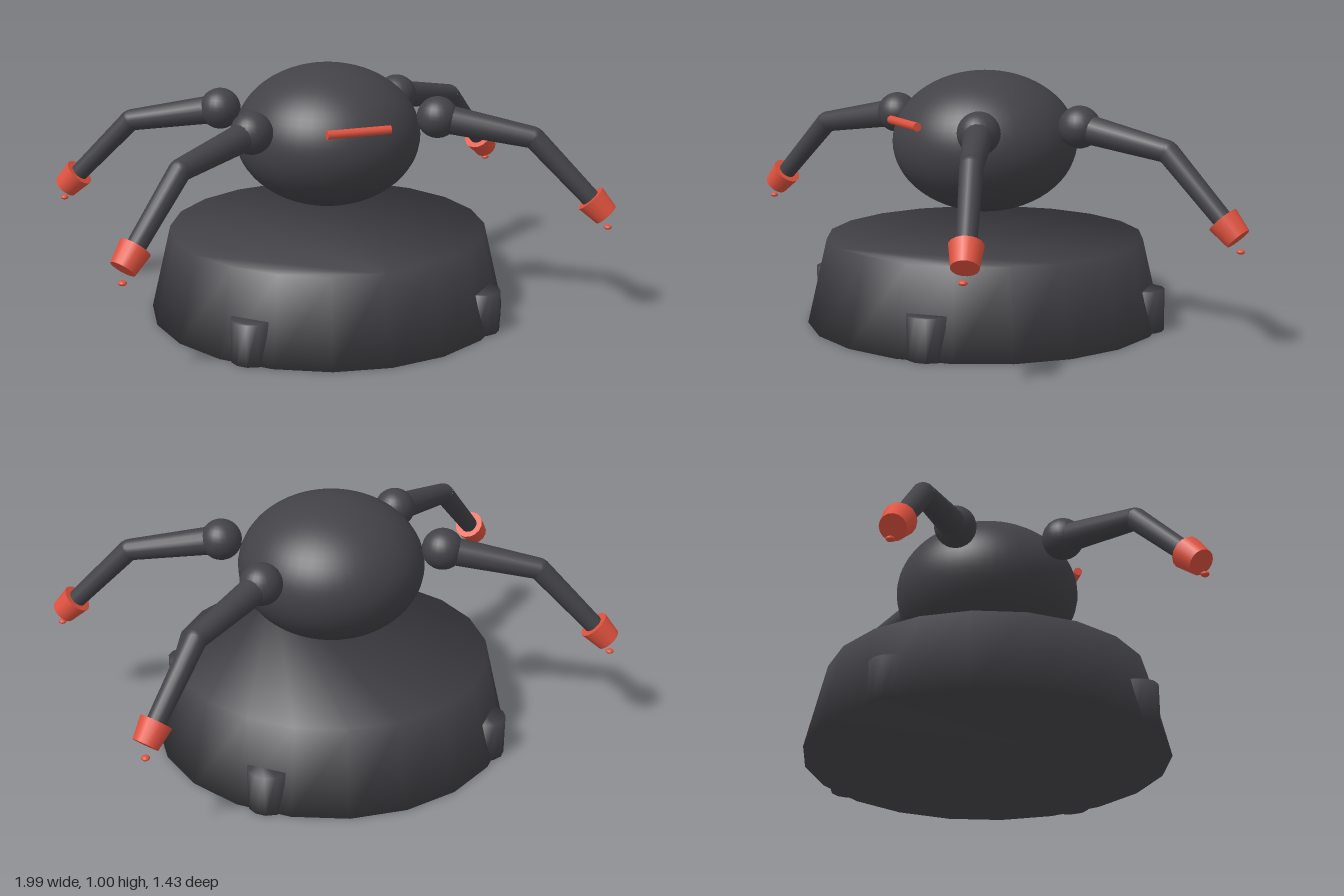
import * as THREE from 'three';

const dark = new THREE.MeshStandardMaterial({ color: 0x424247 });
dark.name = 'charcoal';
const red = new THREE.MeshStandardMaterial({ color: 0xe0523f });
red.name = 'signal red';

function add(parent, name, geometry, material, x = 0, y = 0, z = 0) {
  const mesh = new THREE.Mesh(geometry, material);
  mesh.name = name;
  mesh.position.set(x, y, z);
  parent.add(mesh);
  return mesh;
}

// Tapered cylinder running from point a to point b
function limb(parent, name, a, b, ra, rb, material, sides = 16) {
  const dir = b.clone().sub(a);
  const geometry = new THREE.CylinderGeometry(rb, ra, dir.length(), sides);
  const mid = a.clone().lerp(b, 0.5);
  const mesh = add(parent, name, geometry, material, mid.x, mid.y, mid.z);
  mesh.quaternion.setFromUnitVectors(new THREE.Vector3(0, 1, 0), dir.normalize());
  return mesh;
}

// Closed frustum from two rings whose shared normals blend softly from wall to caps
function softFrustum(rBottom, rTop, height, sides) {
  const pos = [], nor = [], idx = [];
  for (let ring = 0; ring < 2; ring++) {
    const r = ring ? rTop : rBottom;
    for (let i = 0; i < sides; i++) {
      const t = (i / sides) * Math.PI * 2, s = Math.sin(t), c = Math.cos(t);
      pos.push(r * s, ring * height, r * c);
      nor.push(0.78 * s, ring ? 0.62 : -0.62, 0.78 * c);
    }
  }
  for (let i = 0; i < sides; i++) {
    const j = (i + 1) % sides;
    idx.push(i, j, sides + j, i, sides + j, sides + i);
    if (i > 0 && j > 0) idx.push(0, j, i, sides, sides + i, sides + j);
  }
  const g = new THREE.BufferGeometry();
  g.setAttribute('position', new THREE.Float32BufferAttribute(pos, 3));
  g.setAttribute('normal', new THREE.Float32BufferAttribute(nor, 3));
  g.setIndex(idx);
  return g;
}

export function createModel() {
  const model = new THREE.Group();
  model.name = 'hoveringRobot';

  // Base with four foot pads
  add(model, 'base', softFrustum(0.715, 0.635, 0.34, 20), dark);
  for (const sx of [-1, 1]) for (const sz of [-1, 1]) {
    add(model, 'footPad', softFrustum(0.08, 0.08, 0.165, 12), dark, sx * 0.465, 0, sz * 0.465);
  }

  // Floating body with a red visor bar
  const body = add(model, 'body', new THREE.SphereGeometry(1, 48, 32), dark, 0, 0.72, 0);
  body.scale.set(0.368, 0.28, 0.368);
  const visor = add(model, 'visor', new THREE.CylinderGeometry(0.017, 0.017, 0.255, 12), red, 0, 0.808, 0.351);
  visor.rotation.z = Math.PI / 2;

  // Four jointed arms
  for (const sx of [-1, 1]) for (const sz of [-1, 1]) {
    const arm = new THREE.Group();
    arm.name = (sz > 0 ? 'front' : 'back') + (sx > 0 ? 'Left' : 'Right') + 'Arm';
    model.add(arm);
    const p = (x, y, z) => new THREE.Vector3(sx * x, y, sz * z);
    const shoulder = p(0.38, 0.805, 0.215), elbow = p(0.705, 0.74, 0.403), wrist = p(0.93, 0.475, 0.535);
    const along = wrist.clone().sub(elbow).normalize();
    const at = (d) => wrist.clone().addScaledVector(along, d);

    add(arm, 'shoulder', new THREE.SphereGeometry(0.082, 24, 16), dark, ...shoulder);
    limb(arm, 'upperArm', shoulder, elbow, 0.058, 0.043, dark);
    add(arm, 'elbow', new THREE.SphereGeometry(0.042, 16, 12), dark, ...elbow);
    limb(arm, 'forearm', elbow, wrist, 0.043, 0.036, dark);
    limb(arm, 'nozzle', at(-0.045), at(0.045), 0.062, 0.05, red);
    const drop = add(arm, 'droplet', new THREE.SphereGeometry(0.016, 12, 8), red, sx * 0.962, 0.395, sz * 0.56);
    drop.scale.y = 0.6;
  }
  return model;
}
